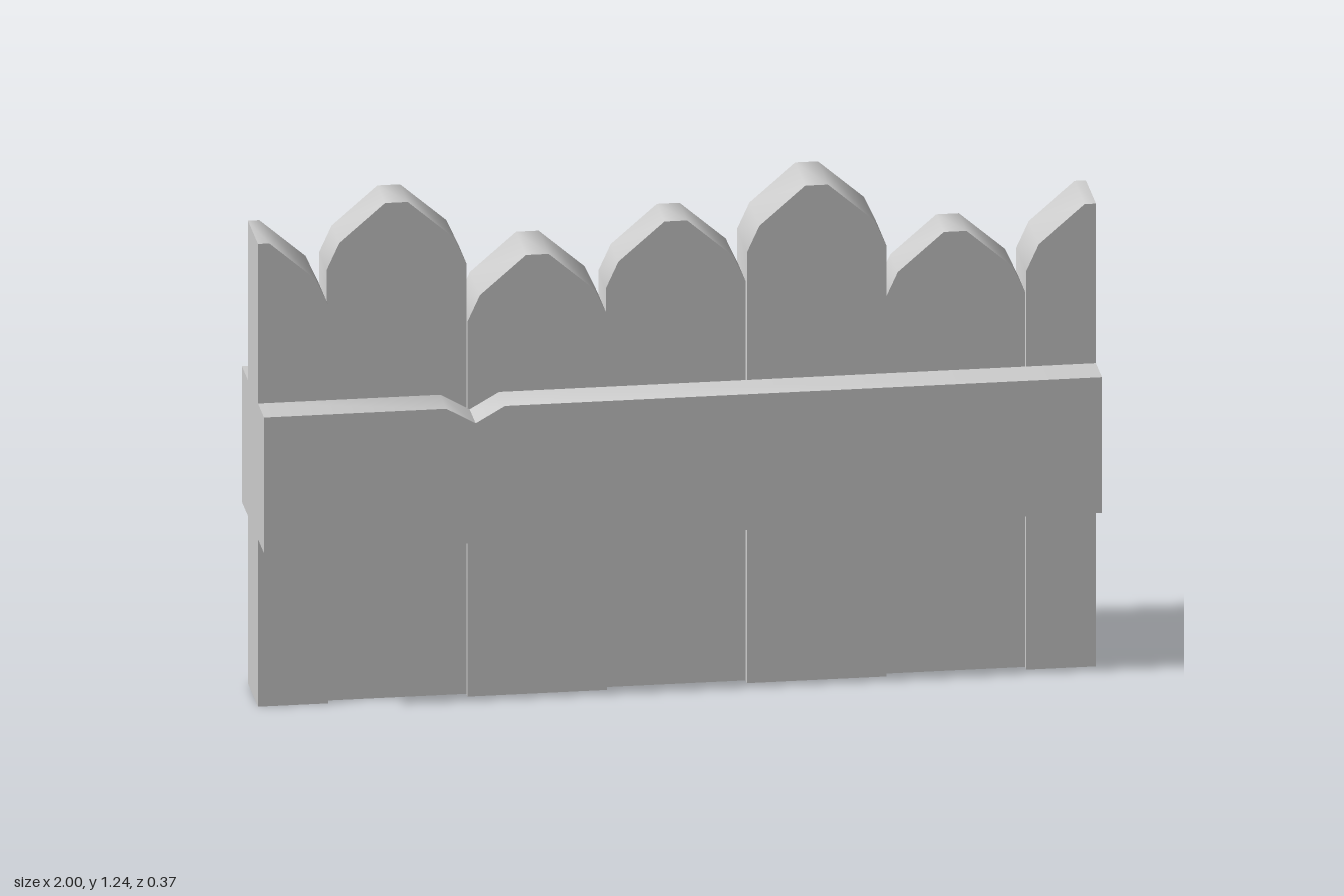
import * as THREE from 'three';
import { toCreasedNormals } from 'three/addons/utils/BufferGeometryUtils.js';

const material = new THREE.MeshStandardMaterial({ color: 0xcccccc });

// Extrudes an outline in x/y along z, centred on zCentre
function slab(name, points, depth, zCentre) {
  const shape = new THREE.Shape(points.map(([x, y]) => new THREE.Vector2(x, y)));
  const geometry = new THREE.ExtrudeGeometry(shape, { depth, bevelEnabled: false });
  geometry.translate(0, 0, zCentre - depth / 2);
  const mesh = new THREE.Mesh(toCreasedNormals(geometry, 0.8), material);
  mesh.name = name;
  return mesh;
}

export function createModel() {
  const group = new THREE.Group();
  group.name = 'picketFence';

  // Pickets: thick and thin alternate, the two end ones are halves
  const half = 1 / 6;
  const peaks = [1.16, 1.24, 1.10, 1.16, 1.24, 1.10, 1.16];
  peaks.forEach((peak, i) => {
    const x = -1 + i * 2 * half;
    const right = [[half, 0], [half, peak - 0.16], [0.137, peak - 0.095], [0.027, peak]];
    const left = right.map(([px, py]) => [-px, py]).reverse();
    const axis = [[0, peak], [0, 0]];
    let outline = [...right, ...left];
    if (i === 0) outline = [...right, ...axis];
    if (i === peaks.length - 1) outline = [...axis.slice().reverse(), ...left];
    const depth = i % 2 === 0 ? 0.166 : 0.126;
    group.add(slab('picket', outline.map(([px, py]) => [px + x, py]), depth, 0));
  });

  // Rails with a chipped notch in the upper and lower edges
  const railOutline = [
    [-1, 0.42], [0.42, 0.42], [0.5, 0.465], [0.577, 0.42], [1, 0.42],
    [1, 0.76], [-0.425, 0.76], [-0.495, 0.72], [-0.565, 0.76], [-1, 0.76],
  ];
  group.add(slab('frontRail', railOutline, 0.1, 0.133));
  group.add(slab('backRail', railOutline, 0.1, -0.133));

  return group;
}
